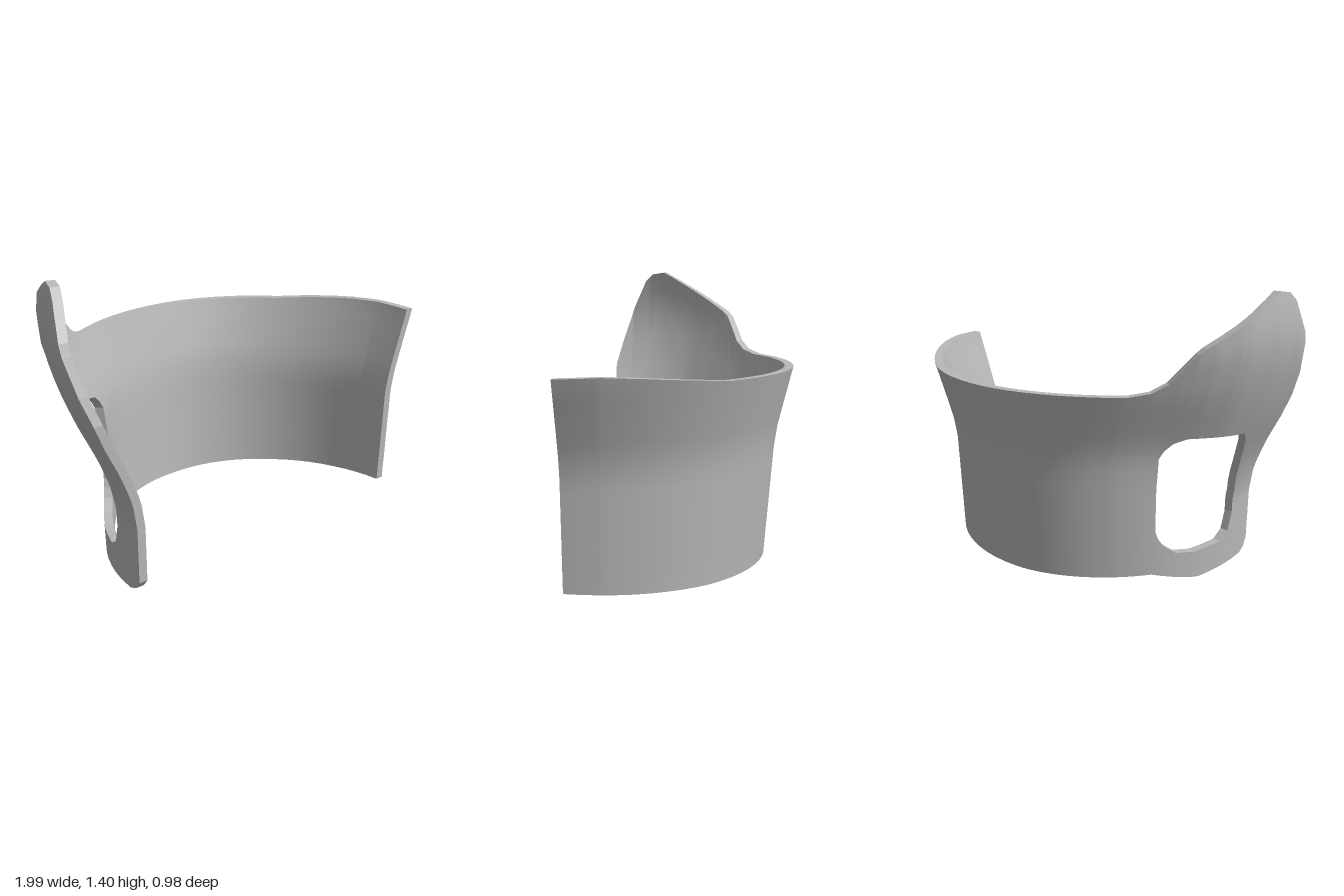
import * as THREE from 'three';

// Piecewise linear lookup through [input, value] knots
function lerpKnots(knots, t) {
  if (t <= knots[0][0]) return knots[0][1];
  for (let i = 1; i < knots.length; i++) {
    const [t0, v0] = knots[i - 1], [t1, v1] = knots[i];
    if (t <= t1) return v0 + (v1 - v0) * (t - t0) / (t1 - t0);
  }
  return knots[knots.length - 1][1];
}

// Half-width and depth of the cuff at each height
const WIDTH_LEFT = [[0.09, 0.795], [0.6, 0.81], [0.7, 0.832], [0.85, 0.88], [1.0, 0.93]];
const WIDTH_BACK = [[0, 0.79], [0.5, 0.8], [0.65, 0.815], [0.75, 0.855], [0.97, 0.99], [1.16, 1.06], [1.4, 1.04]];
const WIDTH_RIGHT = [[0, 0.79], [0.35, 0.795], [0.48, 0.815], [0.62, 0.87], [0.76, 0.94], [0.93, 1.01],
  [1.1, 1.06], [1.25, 1.07], [1.4, 1.04]];
const DEPTH = [[0, 0.845], [0.6, 0.895], [0.7, 0.912], [0.97, 0.98], [1.16, 1.02], [1.4, 1.04]];

// Outlines as [angle, height]; 0 is the left front end, 90 the back, 180 the right front end
const TOP = [[0, 1.005], [11, 1.01], [20, 1.003], [30, 0.99], [45, 0.97], [90, 0.97], [122, 0.972], [128, 0.99],
  [132, 1.03], [138, 1.16], [140, 1.185], [151.6, 1.29], [163.6, 1.4], [167.5, 1.39], [170, 1.35],
  [174, 1.2], [178, 0.99], [180, 0.87]];
const BOTTOM = [[0, 0.095], [20, 0.08], [45, 0.064], [90, 0.052], [120, 0.058], [134, 0.06], [142, 0.03],
  [149, 0.006], [152.5, 0], [175, 0.025], [178, 0.045], [180, 0.085]];
const HOLE_TOP = [[135.5, 0.65], [136.5, 0.69], [138.5, 0.725], [142, 0.745], [160, 0.735], [162.5, 0.69],
  [165, 0.6], [167, 0.5], [168, 0.4]];
const HOLE_BOTTOM = [[135.5, 0.28], [136.5, 0.24], [138.5, 0.2], [143, 0.155], [150, 0.14], [162, 0.15],
  [166, 0.19], [168, 0.28]];
const THICKNESS = 0.042;
const BANDS = [4, 6, 8]; // rows below, beside and above the opening

function surfacePoint(angle, y, inset) {
  const t = THREE.MathUtils.degToRad(angle);
  const blend = THREE.MathUtils.smoothstep(angle, 130, 158);
  const width = angle < 90 ? lerpKnots(WIDTH_LEFT, y)
    : THREE.MathUtils.lerp(lerpKnots(WIDTH_BACK, y), lerpKnots(WIDTH_RIGHT, y), blend);
  return [0.07 + (width - inset) * Math.cos(t), y, 0.49 - (lerpKnots(DEPTH, y) - inset) * Math.sin(t)];
}

export function createModel() {
  const group = new THREE.Group();
  const grey = new THREE.MeshStandardMaterial({ color: 0xb8b8b8 });
  grey.name = 'grey';

  // Columns: regular steps plus every outline corner
  const angleSet = new Set();
  for (let a = 0; a <= 180; a += 5) angleSet.add(a);
  for (const outline of [TOP, BOTTOM, HOLE_TOP, HOLE_BOTTOM]) outline.forEach(([a]) => angleSet.add(a));
  const angles = [...angleSet].sort((a, b) => a - b);

  const rows = BANDS[0] + BANDS[1] + BANDS[2];
  const columnHeights = (a) => {
    const stops = [BOTTOM, HOLE_BOTTOM, HOLE_TOP, TOP].map((k) => lerpKnots(k, a));
    const ys = [stops[0]];
    BANDS.forEach((n, b) => {
      for (let k = 1; k <= n; k++) ys.push(stops[b] + (stops[b + 1] - stops[b]) * k / n);
    });
    return ys;
  };
  const makeSheet = (inset) => angles.map((a) => columnHeights(a).map((y) => surfacePoint(a, y, inset)));
  const outer = makeSheet(0), inner = makeSheet(THICKNESS);

  // A cell is solid unless it lies in the opening
  const solid = (i, j) => {
    if (i < 0 || j < 0 || i >= angles.length - 1 || j >= rows) return false;
    const inHole = angles[i] >= 135.5 && angles[i + 1] <= 168 && j >= BANDS[0] && j < BANDS[0] + BANDS[1];
    return !inHole;
  };

  const id = (i, j) => i * (rows + 1) + j;
  const outerIndex = [], innerIndex = [], rim = [];
  for (let i = 0; i < angles.length - 1; i++) {
    for (let j = 0; j < rows; j++) {
      if (!solid(i, j)) continue;
      const corners = [[i, j], [i + 1, j], [i + 1, j + 1], [i, j + 1]];
      const [a, b, c, d] = corners.map(([m, n]) => id(m, n));
      outerIndex.push(a, b, c, a, c, d);
      innerIndex.push(a, c, b, a, d, c);
      // Close the wall wherever the neighbouring cell is missing
      [[i, j - 1], [i + 1, j], [i, j + 1], [i - 1, j]].forEach(([m, n], side) => {
        if (solid(m, n)) return;
        const [pi, pj] = corners[side], [qi, qj] = corners[(side + 1) % 4];
        const p = outer[pi][pj], q = outer[qi][qj], p2 = inner[pi][pj], q2 = inner[qi][qj];
        rim.push(...q, ...p, ...p2, ...q, ...p2, ...q2);
      });
    }
  }

  const addMesh = (name, positions, index) => {
    const geometry = new THREE.BufferGeometry();
    geometry.setAttribute('position', new THREE.Float32BufferAttribute(positions, 3));
    if (index) geometry.setIndex(index);
    geometry.computeVertexNormals();
    const mesh = new THREE.Mesh(geometry, grey);
    mesh.name = name;
    group.add(mesh);
  };
  addMesh('outerWall', outer.flat(2), outerIndex);
  addMesh('innerWall', inner.flat(2), innerIndex);
  addMesh('rimEdges', rim);

  group.name = 'curvedCuff';
  return group;
}
